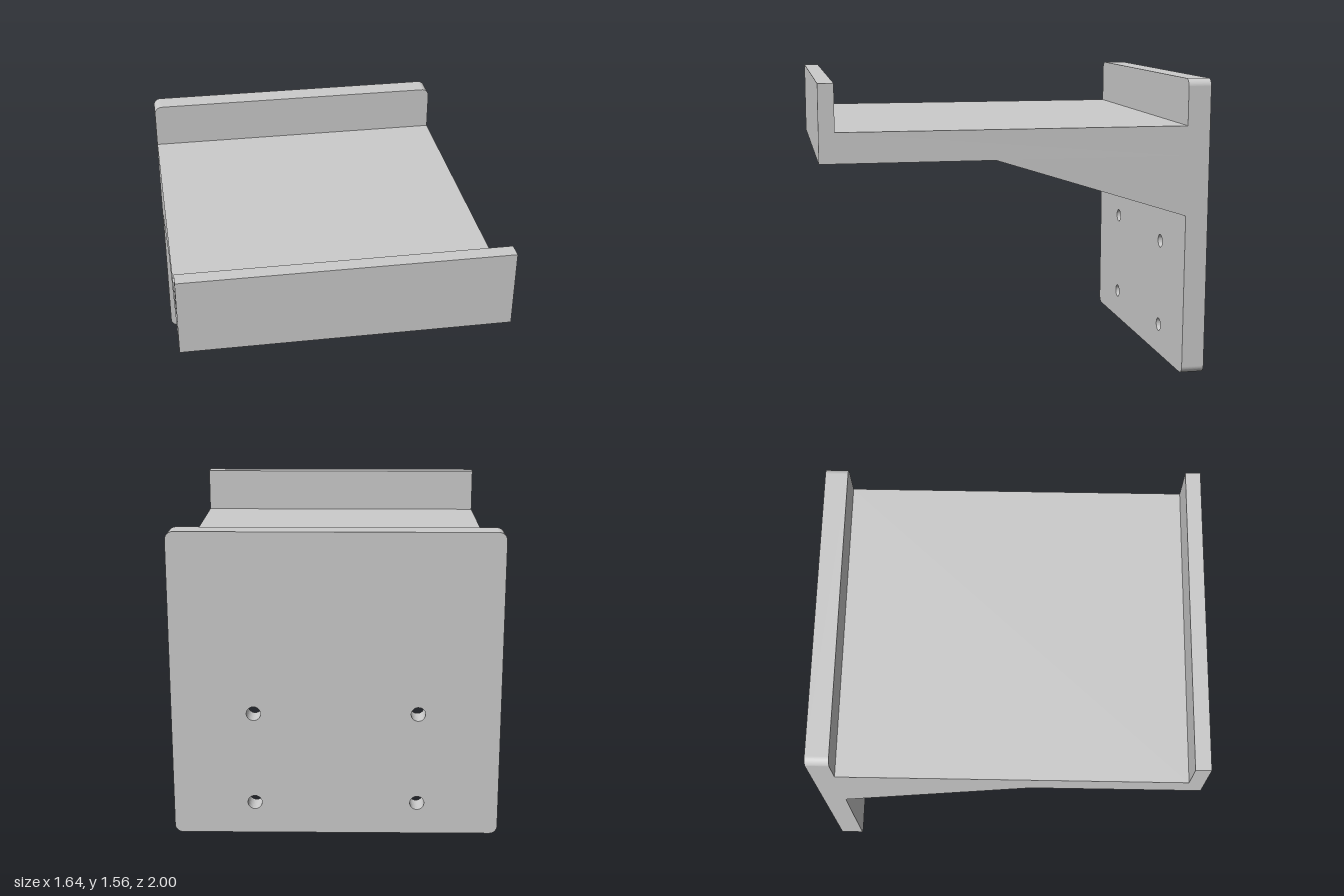
import * as THREE from 'three';

const W = 1.64, HALF = W / 2;      // overall width
const BACK = -1, PLATE = 0.12;     // wall plate rear face and thickness
const FACE = BACK + PLATE;         // wall plate front face

const material = new THREE.MeshStandardMaterial({ color: 0xcccccc });

function part(name, geometry) {
  const mesh = new THREE.Mesh(geometry, material);
  mesh.name = name;
  return mesh;
}

// Extrudes a side profile of [z, y] points across x, centred on the given x
function sideProfile(points, width, x) {
  const shape = new THREE.Shape(points.map(([z, y]) => new THREE.Vector2(z, y)));
  return new THREE.ExtrudeGeometry(shape, { depth: width, bevelEnabled: false })
    .rotateY(-Math.PI / 2)
    .translate(x + width / 2, 0, 0);
}

// Upright plate with rounded corners and four screw holes
function wallPlate() {
  const h = 1.56, r = 0.04;
  const s = new THREE.Shape();
  s.moveTo(-HALF + r, 0);
  s.absarc(HALF - r, r, r, -Math.PI / 2, 0);
  s.absarc(HALF - r, h - r, r, 0, Math.PI / 2);
  s.absarc(-HALF + r, h - r, r, Math.PI / 2, Math.PI);
  s.absarc(-HALF + r, r, r, Math.PI, Math.PI * 1.5);
  for (const x of [-0.41, 0.41]) {
    for (const y of [0.165, 0.64]) {
      s.holes.push(new THREE.Path().absarc(x, y, 0.036, 0, Math.PI * 2, true));
    }
  }
  return new THREE.ExtrudeGeometry(s, { depth: PLATE, bevelEnabled: false, curveSegments: 16 })
    .translate(0, 0, BACK);
}

export function createModel() {
  const group = new THREE.Group();
  group.name = 'wallShelfBracket';

  group.add(part('wallPlate', wallPlate()));

  // Shelf with an upturned front lip
  group.add(part('shelfWithLip', sideProfile(
    [[FACE, 1.165], [1, 1.165], [1, 1.56], [0.92, 1.56], [0.92, 1.32], [FACE, 1.32]], W, 0)));

  // Tapered ribs under the shelf
  const rib = 0.06, edge = HALF - rib / 2;
  [['rightRib', -edge], ['middleRib', 0], ['leftRib', edge]].forEach(([name, x]) => {
    group.add(part(name, sideProfile([[FACE, 0.85], [0.12, 1.165], [FACE, 1.165]], rib, x)));
  });

  return group;
}
